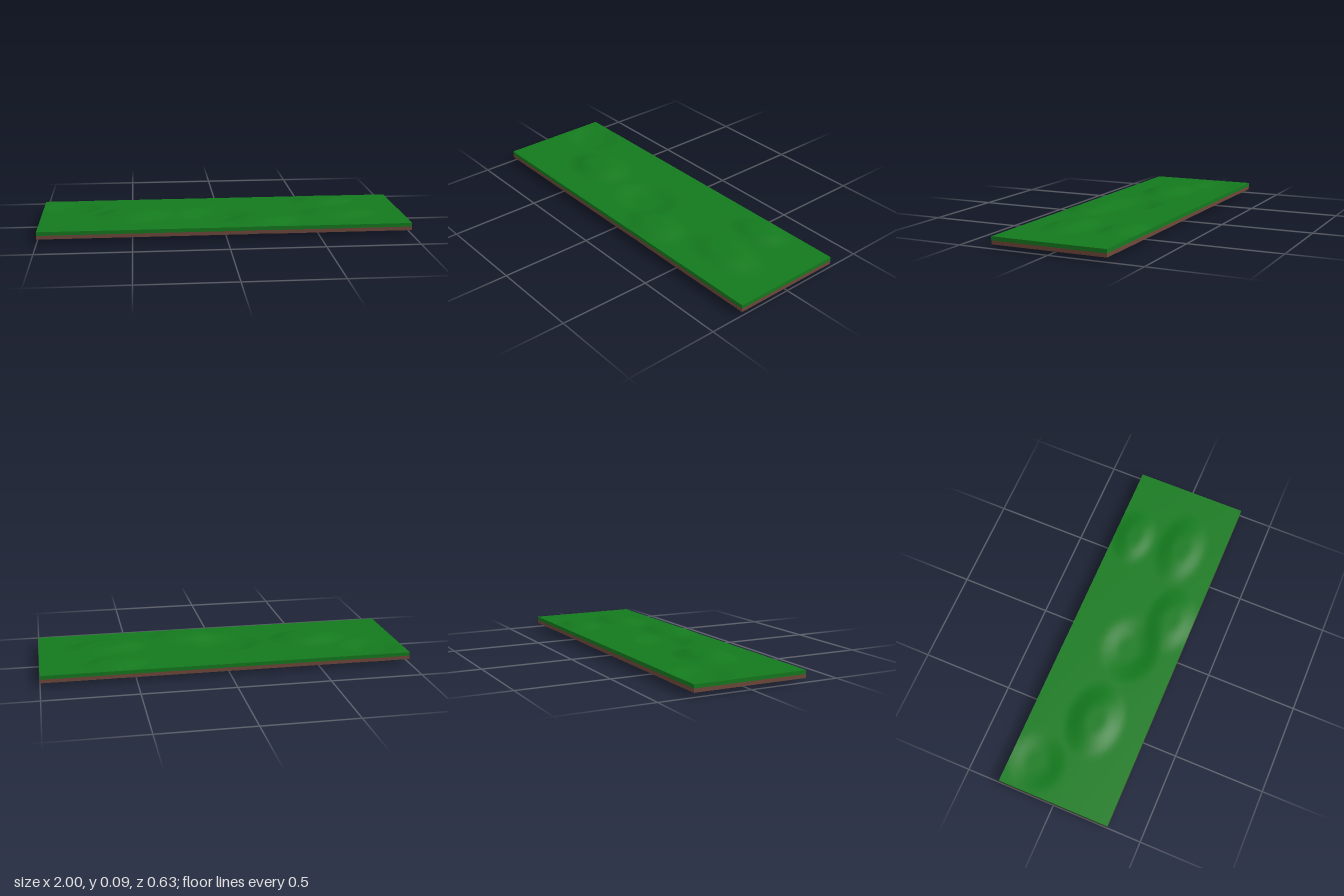
import * as THREE from 'three';

const LENGTH = 2, DEPTH = 0.626, THICK = 0.04, BASE = 0.022, SPLIT = 0.0385;

// Hills and hollows: centre x, z, radii x, z, height
const MOUNDS = [
  [-0.5, 0.03, 0.23, 0.16, 0.028],
  [0.63, 0.08, 0.24, 0.14, 0.021],
  [0.6, -0.2, 0.19, 0.12, 0.0195],
  [0.2, 0.19, 0.21, 0.14, 0.021],
  [-0.05, 0.04, 0.21, 0.17, -0.022],
  [-0.83, -0.17, 0.18, 0.16, -0.016],
];

function heightAt(x, z) {
  let h = 0;
  for (const [cx, cz, rx, rz, top] of MOUNDS) {
    const d = Math.hypot((x - cx) / rx, (z - cz) / rz);
    h += top * (1 - THREE.MathUtils.smoothstep(d, 0.3, 1));
  }
  return h;
}

// Slab whose top and bottom both follow the terrain
function terrainSlab() {
  const geo = new THREE.BoxGeometry(LENGTH, THICK, DEPTH, 100, 2, 32);
  const p = geo.attributes.position;
  for (let i = 0; i < p.count; i++) {
    p.setY(i, p.getY(i) + BASE + THICK / 2 + heightAt(p.getX(i), p.getZ(i)));
  }
  geo.computeVertexNormals();
  return geo;
}

// Keep only the faces that pass the test; top faces are always grass
function pickFaces(geo, wantGrass) {
  const { position: p, normal: n } = geo.attributes;
  const index = geo.index.array, kept = [];
  for (let i = 0; i < index.length; i += 3) {
    const [a, b, c] = [index[i], index[i + 1], index[i + 2]];
    const y = (p.getY(a) + p.getY(b) + p.getY(c)) / 3;
    const grass = n.getY(a) > 0.5 || y > SPLIT;
    if (grass === wantGrass) kept.push(a, b, c);
  }
  const part = geo.clone();
  part.clearGroups();
  part.setIndex(kept);
  return part;
}

export function createModel() {
  const group = new THREE.Group();
  group.name = 'terrainTile';
  const slab = terrainSlab();
  for (const [name, color, isGrass] of [['grass', 0x147a1e, true], ['soil', 0x6f483b, false]]) {
    const mesh = new THREE.Mesh(pickFaces(slab, isGrass), new THREE.MeshStandardMaterial({ color }));
    mesh.name = name;
    group.add(mesh);
  }
  return group;
}
